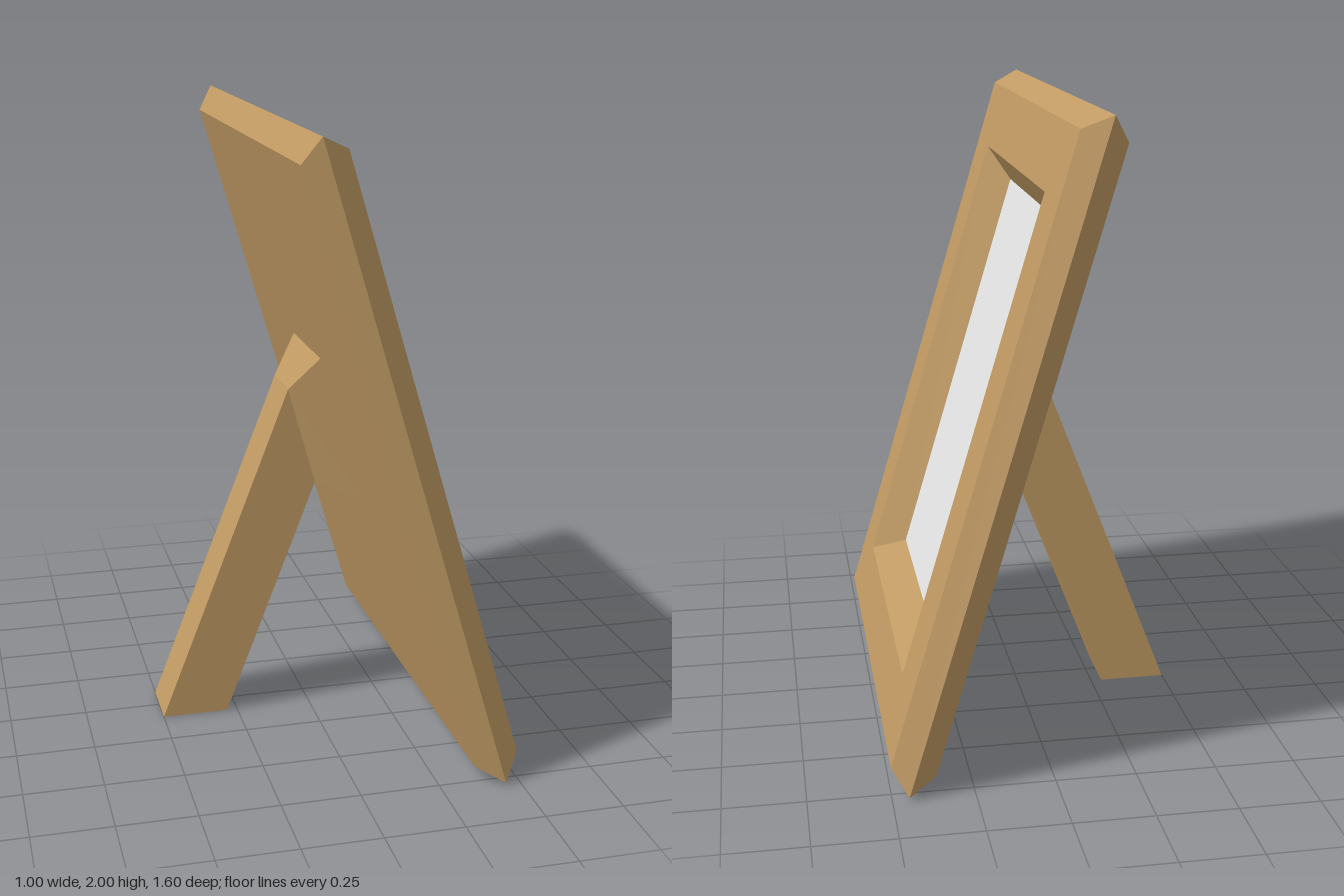
import * as THREE from 'three';

// Skin consecutive four-cornered rings with flat quads; optional end caps.
function loft(rings, capStart, capEnd) {
  const pos = [];
  const quad = (a, b, c, d) => pos.push(...a, ...b, ...c, ...a, ...c, ...d);
  for (let r = 0; r + 1 < rings.length; r++) {
    const [A, B] = [rings[r], rings[r + 1]];
    for (let i = 0; i < 4; i++) {
      const j = (i + 1) % 4;
      quad(A[i], A[j], B[j], B[i]);
    }
  }
  if (capStart) quad(...[...rings[0]].reverse());
  if (capEnd) quad(...rings[rings.length - 1]);
  const g = new THREE.BufferGeometry();
  g.setAttribute('position', new THREE.Float32BufferAttribute(pos, 3));
  g.computeVertexNormals();
  return g;
}

// Rectangle facing +x at depth x.
const rect = (x, hy, hz) => [[x, -hy, hz], [x, -hy, -hz], [x, hy, -hz], [x, hy, hz]];

// Strut section running from rear point a to front point b.
const section = ([ax, ay], [bx, by], hz) =>
  [[ax, ay, hz], [bx, by, hz], [bx, by, -hz], [ax, ay, -hz]];

export function createModel() {
  const wood = new THREE.MeshStandardMaterial({ name: 'wood', color: 0xc09a63 });
  const paper = new THREE.MeshStandardMaterial({ name: 'picture white', color: 0xf5f5f5 });
  const model = new THREE.Group();
  model.name = 'pictureFrame';
  const add = (parent, name, geometry, material) => {
    const m = new THREE.Mesh(geometry, material);
    m.name = name;
    parent.add(m);
  };

  // Leaning panel: bevelled frame with a recessed picture
  const panel = new THREE.Group();
  panel.name = 'leaningPanel';
  panel.position.set(0.155, 1.005, 0);
  panel.rotation.z = 0.288;
  model.add(panel);
  const pictureRect = rect(-0.024, 0.683, 0.46);
  add(panel, 'frame', loft([
    rect(-0.0705, 0.975, 0.753),
    rect(0, 1.038, 0.8),
    rect(0.0705, 0.975, 0.753),
    rect(0.0705, 0.766, 0.543),
    pictureRect,
  ], true, false), wood);
  add(panel, 'picture', loft([pictureRect], false, true), paper);

  // Rear stand: straight leg, then a flared mount against the panel's back
  const joint = section([-0.07, 1.11], [0.02, 0.79], 0.095);
  add(model, 'standLeg', loft([section([-0.5, 0], [-0.285, 0], 0.095), joint], true, false), wood);
  add(model, 'standMount', loft([joint, section([0.016, 1.23], [0.163, 0.74], 0.18)], false, false), wood);

  return model;
}
